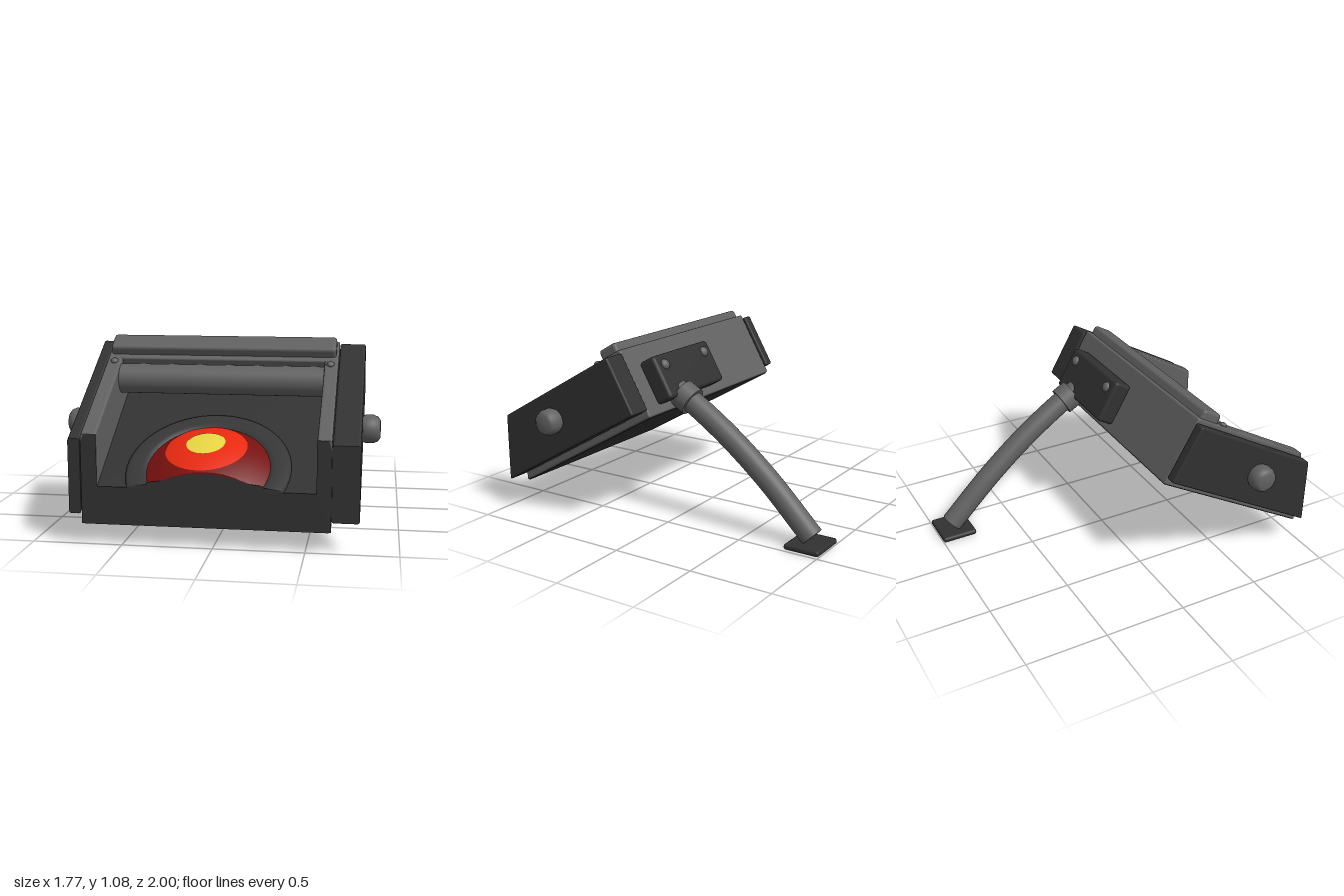
import * as THREE from 'three';
import { RoundedBoxGeometry } from 'three/addons/geometries/RoundedBoxGeometry.js';

const TILT = Math.PI / 6, SIN = Math.sin(TILT), COS = Math.cos(TILT);
const FRONT = 0.998; // the case is cut off by an upright plane here

const material = (name, color, side = THREE.FrontSide) => {
  const m = new THREE.MeshStandardMaterial({ color, side });
  m.name = name;
  return m;
};

// Slide everything beyond the front plane back onto it, along the tilted z axis
function cutFront(geometry) {
  const p = geometry.attributes.position;
  for (let i = 0; i < p.count; i++) {
    const limit = (FRONT - p.getY(i) * SIN) / COS;
    if (p.getZ(i) > limit) p.setZ(i, limit);
  }
  geometry.computeVertexNormals();
  return geometry;
}

export function createModel() {
  const dark = material('charcoal', 0x313131);
  const grey = material('grey', 0x616161);
  const deepRed = material('deep red', 0x76100f, THREE.DoubleSide);
  const red = material('red', 0xec2a10);
  const yellow = material('yellow', 0xe8d642);

  const model = new THREE.Group();
  const tilted = new THREE.Group();
  tilted.name = 'tiltedCase';
  tilted.rotation.x = TILT;
  model.add(tilted);

  const add = (parent, name, geometry, mat, x = 0, y = 0, z = 0) => {
    const mesh = new THREE.Mesh(geometry, mat);
    mesh.name = name;
    mesh.position.set(x, y, z);
    parent.add(mesh);
    return mesh;
  };
  const block = (name, mat, [x0, x1], [y0, y1], [z0, z1], r = 0.012, parent = tilted) => {
    const g = new RoundedBoxGeometry(x1 - x0, y1 - y0, z1 - z0, 2, r);
    g.translate((x0 + x1) / 2, (y0 + y1) / 2, (z0 + z1) / 2);
    return add(parent, name, parent === tilted && z1 > 0.9 ? cutFront(g) : g, mat);
  };

  // Case: floor, walls and outer side plates
  block('floor', dark, [-0.66, 0.58], [0.602, 0.777], [-0.3, 1], 0.005);
  block('bottomPlate', dark, [-0.705, 0.625], [0.597, 0.606], [-0.315, 1], 0.002);
  block('rightWall', grey, [-0.72, -0.633], [0.601, 1.028], [-0.325, 1]);
  block('leftWall', grey, [0.558, 0.637], [0.601, 1.028], [-0.325, 1]);
  block('backWall', grey, [-0.72, 0.637], [0.601, 1.03], [-0.328, -0.13]);
  block('topBar', grey, [-0.705, 0.622], [1.0, 1.085], [-0.3, -0.165], 0.02);
  block('rightSidePlate', dark, [-0.792, -0.725], [0.645, 1.006], [-0.34, 1]);
  block('leftSidePlate', dark, [0.638, 0.787], [0.645, 1.006], [-0.34, 1]);

  // Dark front face following the cut outline of the case, ring and dome
  const cx = -0.043;
  const bump = [[0.42, 0.325], [0.33, 0.325], [0.312, 0.358], [0.24, 0.366], [0.16, 0.392], [0.08, 0.407]];
  const outline = [
    [-0.72, 0.115], [0.637, 0.115], [0.637, 0.56], [0.62, 0.61], [0.558, 0.612], [0.558, 0.325],
    ...bump.map(([x, y]) => [cx + x, y]), [cx, 0.412],
    ...bump.slice().reverse().map(([x, y]) => [cx - x, y]),
    [-0.633, 0.325], [-0.633, 0.612], [-0.703, 0.61], [-0.72, 0.56],
  ].map(([x, y]) => new THREE.Vector2(x, y));
  add(model, 'frontFace', new THREE.ShapeGeometry(new THREE.Shape(outline)), dark, 0, 0, 1);

  // Roller across the inside
  const roller = new THREE.CylinderGeometry(0.086, 0.086, 1.19, 40).rotateZ(Math.PI / 2);
  add(tilted, 'roller', roller, grey, -0.037, 0.937, -0.056);

  // Ring around the dome
  const ringProfile = [[0.455, 0.77], [0.455, 0.785], [0.44, 0.79], [0.365, 0.799], [0.34, 0.785]];
  const ring = new THREE.LatheGeometry(ringProfile.map(([x, y]) => new THREE.Vector2(x, y)), 96);
  ring.translate(cx, 0, 0.54);
  const ringMat = material('ring charcoal', 0x353535, THREE.DoubleSide);
  add(tilted, 'domeRing', cutFront(ring), ringMat);

  // Shallow dome with two round patches set off centre
  const R = 0.68, domeY = 0.876 - R;
  const cap = (r, angle) => new THREE.SphereGeometry(r, 72, 24, 0, Math.PI * 2, 0, angle);
  add(tilted, 'dome', cutFront(cap(R, 0.54).translate(cx, domeY, 0.54)), deepRed);
  const aim = new THREE.Vector3(-0.025, 0.667, -0.125).normalize();
  const up = new THREE.Vector3(0, 1, 0);
  [['redPatch', red, 0.003, 0.342], ['yellowPatch', yellow, 0.006, 0.159]].forEach(([name, mat, lift, angle]) => {
    const patch = add(tilted, name, cap(R + lift, angle), mat, cx, domeY, 0.54);
    patch.quaternion.setFromUnitVectors(up, aim);
  });

  // Small screws on the wall tops
  for (const x of [-0.675, 0.592]) {
    const screw = add(tilted, 'wallScrew', new THREE.SphereGeometry(0.022, 20, 12), grey, x, 1.03, -0.1);
    screw.scale.y = 0.7;
  }

  // Rounded side knobs
  const knobProfile = [[0, 0.1], [0.05, 0.098], [0.068, 0.085], [0.079, 0.06], [0.08, 0.02], [0.072, 0], [0.06, -0.03]];
  const knobPoints = knobProfile.reverse().map(([x, y]) => new THREE.Vector2(x, y));
  for (const [side, x] of [[-1, -0.79], [1, 0.785]]) {
    const knob = add(tilted, 'sideKnob', new THREE.LatheGeometry(knobPoints, 36), grey, x, 0.838, 0.232);
    knob.rotation.z = -side * Math.PI / 2;
  }

  // Rear bracket with two bolts
  block('rearBracket', dark, [-0.05, 0.52], [0.65, 0.92], [-0.437, -0.32], 0.022);
  for (const x of [0.03, 0.44]) {
    const bolt = add(tilted, 'bracketBolt', new THREE.SphereGeometry(0.032, 24, 14), grey, x, 0.853, -0.437);
    bolt.scale.z = 0.7;
  }

  // Bent rear leg with collar and foot
  const path = new THREE.CatmullRomCurve3(
    [[0.367, 0.79, 0.01], [0.367, 0.73, -0.1], [0.364, 0.56, -0.35], [0.361, 0.345, -0.61], [0.36, 0.06, -0.9]]
      .map((p) => new THREE.Vector3(...p)));
  add(model, 'rearLeg', new THREE.TubeGeometry(path, 40, 0.067, 28), grey);
  const endNormal = path.getTangentAt(1);
  const legEnd = add(model, 'legEnd', new THREE.CircleGeometry(0.067, 28), grey, 0.36, 0.06, -0.9);
  legEnd.quaternion.setFromUnitVectors(new THREE.Vector3(0, 0, 1), endNormal);
  const collar = add(model, 'legCollar', new THREE.CylinderGeometry(0.088, 0.088, 0.09, 32), grey, 0.367, 0.755, -0.058);
  collar.quaternion.setFromUnitVectors(up, new THREE.Vector3(0, 0.5, 0.866));
  block('foot', dark, [0.24, 0.485], [0, 0.034], [-1, -0.78], 0.014, model);

  return model;
}
